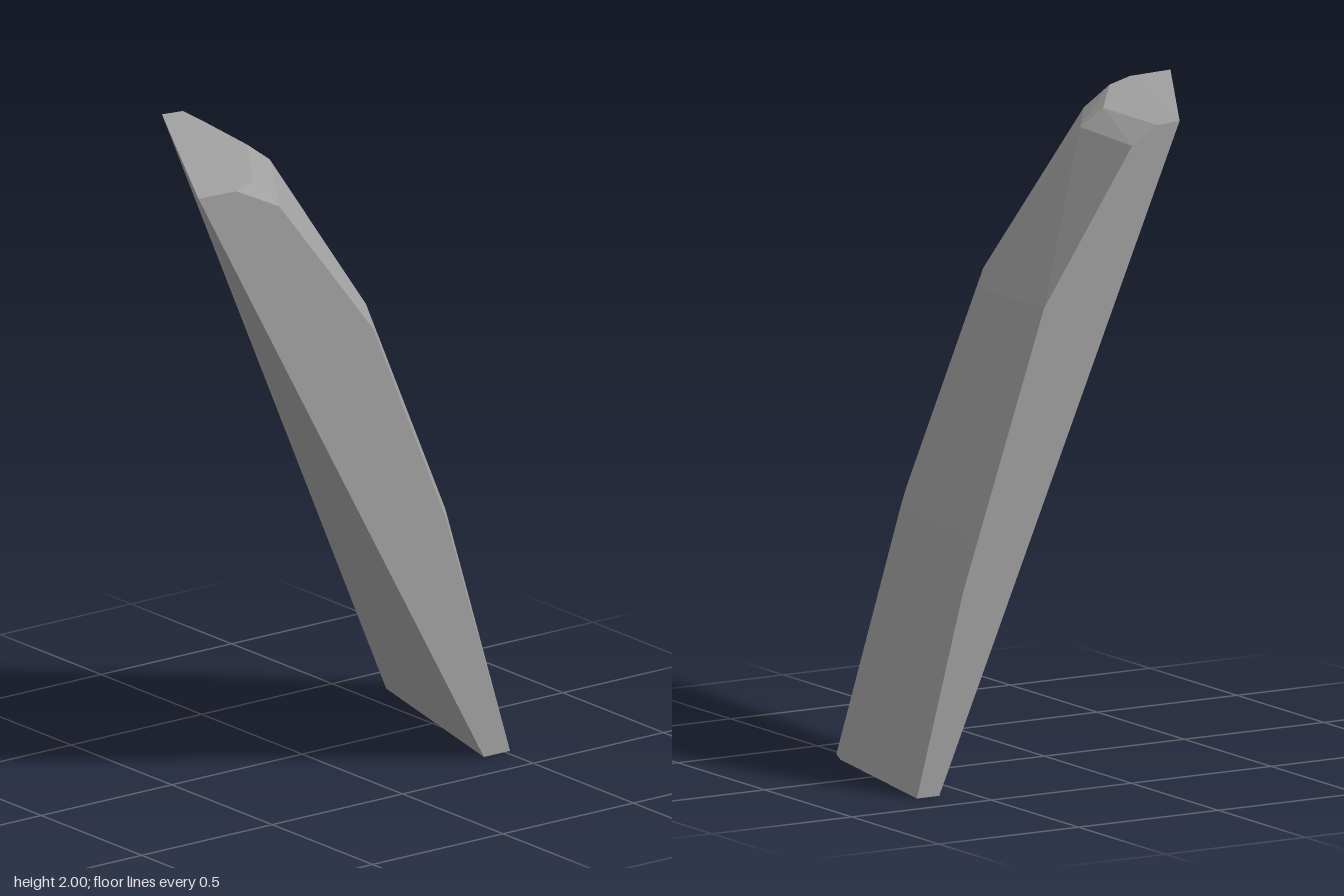
import * as THREE from 'three';
import { ConvexGeometry } from 'three/addons/geometries/ConvexGeometry.js';

const HALF = 0.36; // half width of the slab

export function createModel() {
  const model = new THREE.Group();
  model.name = 'stoneShard';
  const stone = new THREE.MeshStandardMaterial({ color: 0xa0a0a0 });
  stone.name = 'grey stone';

  // corners [x, y, z], row by row from the base to the crown
  const corners = [
    // base outline
    [-HALF, 0, -0.6], [HALF, 0, -0.42], [HALF, 0, -0.52], [0.28, 0, -0.555], [-HALF, 0, -0.68],
    // lower back bend, with a small chip on one edge
    [-HALF, 0.62, -0.515], [-0.325, 0.78, -0.465], [0.24, 0.77, -0.365], [HALF, 0.8, -0.27],
    // upper back bend
    [-HALF, 1.47, -0.225], [0.13, 1.44, -0.145], [HALF, 1.45, 0.005],
    // shoulder
    [-HALF, 1.94, 0.09], [0.02, 1.93, 0.14], [HALF, 1.91, 0.365],
    // crown outline
    [-HALF, 1.995, 0.18], [0, 1.985, 0.21], [0.3, 1.985, 0.42], [HALF, 1.99, 0.53],
    [HALF, 1.995, 0.675], [-HALF, 2, 0.26],
  ].map((p) => new THREE.Vector3(...p));

  // the shard is a convex, flat-faceted block
  const shard = new THREE.Mesh(new ConvexGeometry(corners), stone);
  shard.name = 'shard';
  model.add(shard);
  return model;
}
